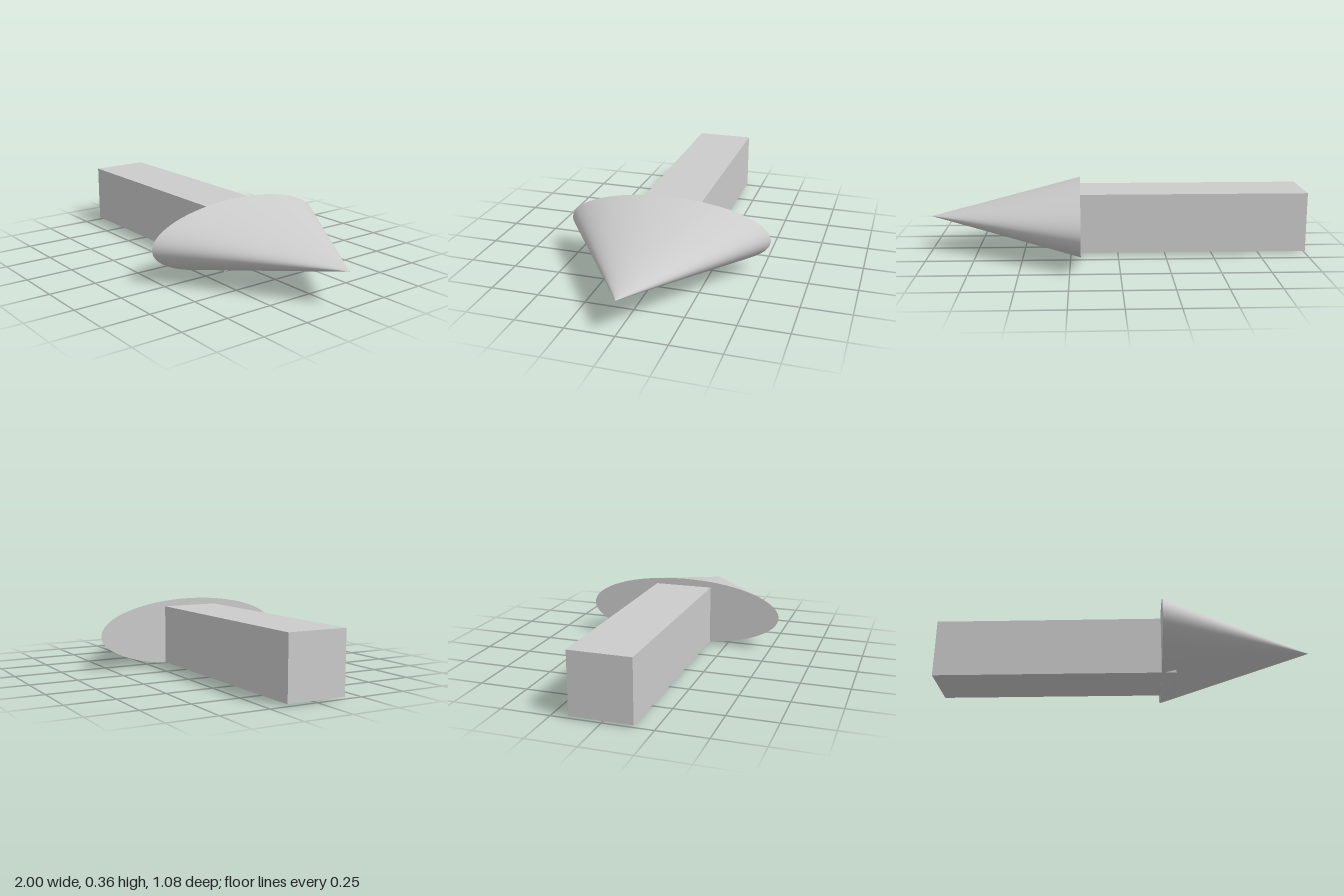
import * as THREE from 'three';

export function createModel() {
  const group = new THREE.Group();
  group.name = 'arrow';
  const material = new THREE.MeshStandardMaterial({ color: 0xcccccc });

  // Square shaft, its end sunk a little into the head
  const shaft = new THREE.Mesh(new THREE.BoxGeometry(1.278, 0.315, 0.313), material);
  shaft.name = 'shaft';
  shaft.position.set(-0.361, 0.168, -0.003);
  group.add(shaft);

  // Flattened cone head pointing along +x, turned very slightly about y
  const cone = new THREE.ConeGeometry(1, 0.8, 128);
  cone.translate(0, 0.4, 0);
  cone.rotateZ(-Math.PI / 2);
  cone.scale(1, 0.182, 0.541);
  const head = new THREE.Mesh(cone, material);
  head.name = 'head';
  head.position.set(0.199, 0.182, 0);
  head.rotation.y = 0.009;
  group.add(head);

  return group;
}
